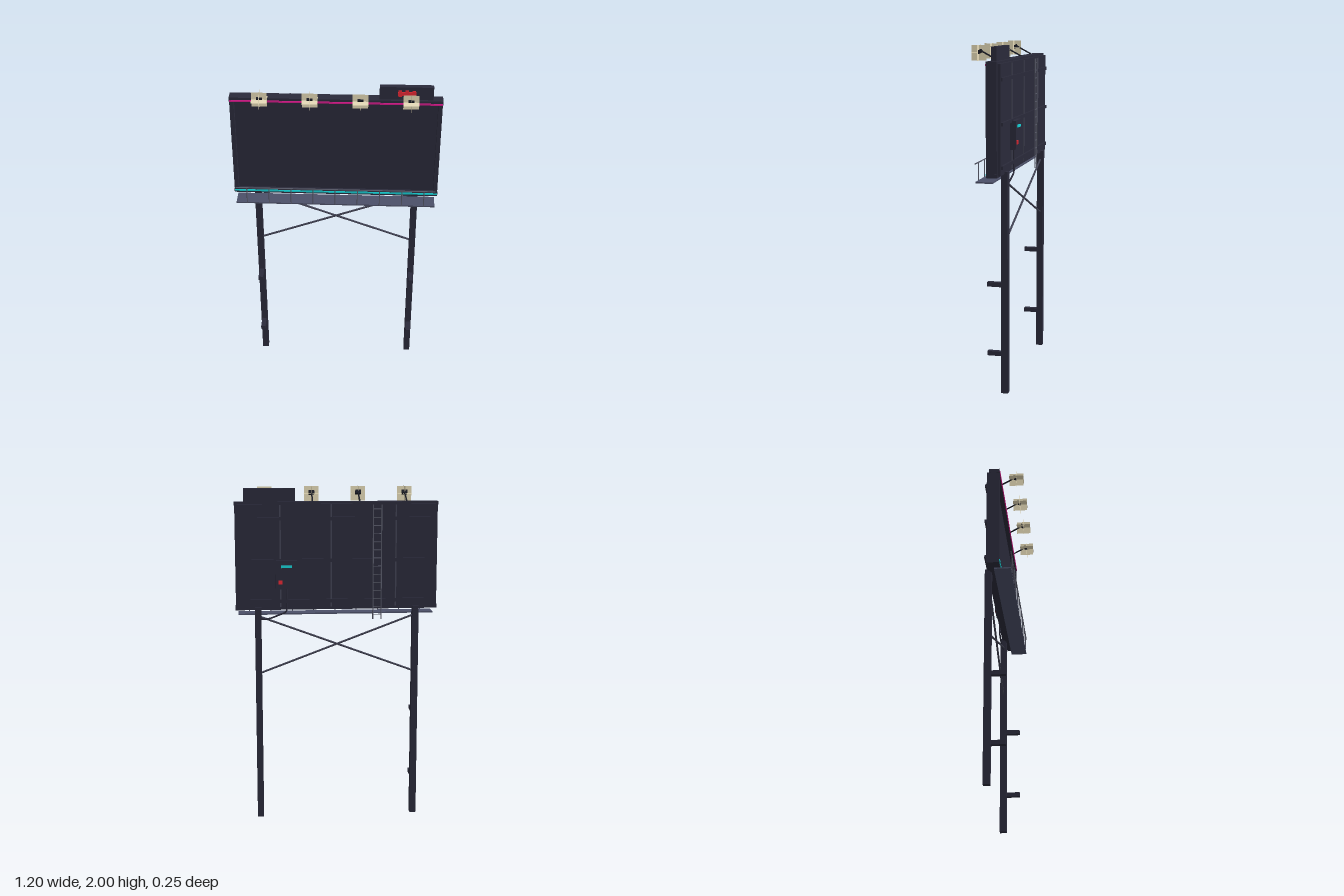
import * as THREE from 'three';

const mat = (name, color, side = THREE.FrontSide) => {
  const m = new THREE.MeshStandardMaterial({ color, side });
  m.name = name;
  return m;
};

export function createModel() {
  const steel = mat('dark steel', 0x2a2a3a);
  const screenMat = mat('screen', 0x292939);
  const railMat = mat('grey rail', 0x575968);
  const braceMat = mat('brace grey', 0x404152);
  const deckMat = mat('walkway grey', 0x4c5068);
  const lampMat = mat('lamp black', 0x1b1d27);
  const glowMat = mat('lamp glow', 0xe5dab7, THREE.DoubleSide);
  const cyan = mat('cyan', 0x16d0d4);
  const magenta = mat('magenta', 0xd81a8c);
  const red = mat('red', 0xe82834);

  const root = new THREE.Group();
  root.name = 'billboard';
  const group = (name) => {
    const g = new THREE.Group();
    g.name = name;
    root.add(g);
    return g;
  };
  const add = (parent, name, geo, material, x = 0, y = 0, z = 0) => {
    const m = new THREE.Mesh(geo, material);
    m.name = name;
    m.position.set(x, y, z);
    parent.add(m);
    return m;
  };
  // box given by its limits on each axis
  const box = (parent, name, material, [x0, x1], [y0, y1], [z0, z1]) =>
    add(parent, name, new THREE.BoxGeometry(x1 - x0, y1 - y0, z1 - z0), material,
      (x0 + x1) / 2, (y0 + y1) / 2, (z0 + z1) / 2);
  // round rod between two points
  const rod = (parent, name, material, a, b, radius) => {
    const p = new THREE.Vector3(...a), q = new THREE.Vector3(...b);
    const geo = new THREE.CylinderGeometry(radius, radius, p.distanceTo(q), 12).rotateX(Math.PI / 2);
    const m = add(parent, name, geo, material);
    m.position.copy(p).add(q).multiplyScalar(0.5);
    m.lookAt(q);
    return m;
  };

  // display panel, recessed in its frame
  const panel = group('panel');
  box(panel, 'screen', screenMat, [-0.58, 0.58], [1.295, 1.9], [-0.07, -0.036]);
  box(panel, 'backSheet', steel, [-0.585, 0.585], [1.29, 1.905], [-0.086, -0.07]);
  box(panel, 'topFrame', steel, [-0.602, 0.602], [1.893, 1.917], [-0.07, -0.009]);
  box(panel, 'bottomFrame', steel, [-0.602, 0.602], [1.28, 1.304], [-0.07, -0.009]);
  for (const s of [-1, 1]) {
    add(panel, 'sideFrame', new THREE.BoxGeometry(0.024, 0.6, 0.062), steel, s * 0.588, 1.6, -0.038);
  }
  box(panel, 'topLightStrip', magenta, [-0.6, 0.6], [1.893, 1.903], [-0.009, -0.004]);
  box(panel, 'bottomLightStrip', cyan, [-0.6, 0.6], [1.291, 1.301], [-0.009, -0.004]);

  // ribs on the back
  for (const y of [1.335, 1.575, 1.82]) {
    box(panel, 'backBeam', steel, [-0.575, 0.575], [y - 0.01, y + 0.01], [-0.097, -0.086]);
  }
  for (const x of [-0.35, 0.035, 0.335]) {
    box(panel, 'backUpright', braceMat, [x - 0.004, x + 0.004], [1.3, 1.9], [-0.091, -0.086]);
  }

  // posts with stub arms, and cross braces
  const support = group('support');
  for (const s of [-1, 1]) {
    const x = s * 0.47;
    box(support, 'post', steel, [x - 0.019, x + 0.019], [0, 1.3], [-0.103, -0.063]);
    for (const y of [0.235, 0.646]) {
      box(support, 'stubArm', steel, [x - 0.014, x + 0.014], [y - 0.013, y + 0.013], [-0.07, 0.02]);
    }
    rod(support, 'crossBrace', braceMat, [s * 0.46, 1.243, -0.083], [-s * 0.46, 0.9, -0.083], 0.006);
  }

  // walkway with railing
  const walkway = group('walkway');
  box(walkway, 'deck', deckMat, [-0.585, 0.585], [1.246, 1.254], [-0.04, 0.058]);
  rod(walkway, 'topRail', railMat, [-0.585, 1.355, 0.058], [0.585, 1.355, 0.058], 0.0035);
  for (let i = -4; i <= 4; i++) {
    rod(walkway, 'railPost', railMat, [i * 0.13, 1.25, 0.058], [i * 0.13, 1.355, 0.058], 0.003);
  }

  // ladder on the back
  const ladder = group('ladder');
  for (const x of [-0.262, -0.213]) {
    rod(ladder, 'ladderRail', railMat, [x, 1.222, -0.102], [x, 1.9, -0.102], 0.0035);
  }
  for (let i = 0; i < 14; i++) {
    const y = 1.25 + i * 0.048;
    rod(ladder, 'rung', railMat, [-0.262, y, -0.102], [-0.213, y, -0.102], 0.0028);
  }

  // control box with markings and conduit
  const control = group('controlBox');
  box(control, 'cabinet', steel, [0.242, 0.364], [1.41, 1.57], [-0.119, -0.086]);
  box(control, 'cabinetLid', steel, [0.239, 0.367], [1.566, 1.576], [-0.12, -0.086]);
  box(control, 'cyanMark', cyan, [0.268, 0.334], [1.535, 1.549], [-0.126, -0.119]);
  box(control, 'redButton', red, [0.324, 0.348], [1.439, 1.463], [-0.126, -0.119]);
  const conduit = new THREE.CatmullRomCurve3([
    [0.3, 1.42, -0.093], [0.3, 1.29, -0.093], [0.308, 1.268, -0.093],
    [0.4, 1.232, -0.09], [0.46, 1.225, -0.083],
  ].map((p) => new THREE.Vector3(...p)), false, 'catmullrom', 0.2);
  add(control, 'conduit', new THREE.TubeGeometry(conduit, 24, 0.005, 8), steel);

  // small sign on top with an abstract red mark
  const topSign = group('topSign');
  box(topSign, 'signBody', steel, [0.245, 0.547], [1.91, 1.995], [-0.054, -0.023]);
  box(topSign, 'redMark', red, [0.347, 0.45], [1.945, 1.967], [-0.023, -0.017]);
  for (const x of [0.36, 0.398, 0.436]) {
    box(topSign, 'redMark', red, [x - 0.01, x + 0.01], [1.937, 1.975], [-0.023, -0.0175]);
  }

  // lamps with crossed glow cards
  for (const x of [-0.42, -0.14, 0.14, 0.42]) {
    const lamp = group('lamp');
    rod(lamp, 'lampArm', lampMat, [x, 1.91, -0.042], [x, 1.966, 0.063], 0.0045);
    const head = add(lamp, 'lampHead', new THREE.BoxGeometry(0.033, 0.02, 0.026), lampMat, x, 1.964, 0.071);
    head.rotation.x = 0.45;
    for (const [rx, ry] of [[0, 0], [0, Math.PI / 2], [Math.PI / 2, 0]]) {
      const card = add(lamp, 'glowCard', new THREE.PlaneGeometry(0.087, 0.087), glowMat, x, 1.9565, 0.0785);
      card.rotation.set(rx, ry, 0);
    }
  }
  return root;
}
